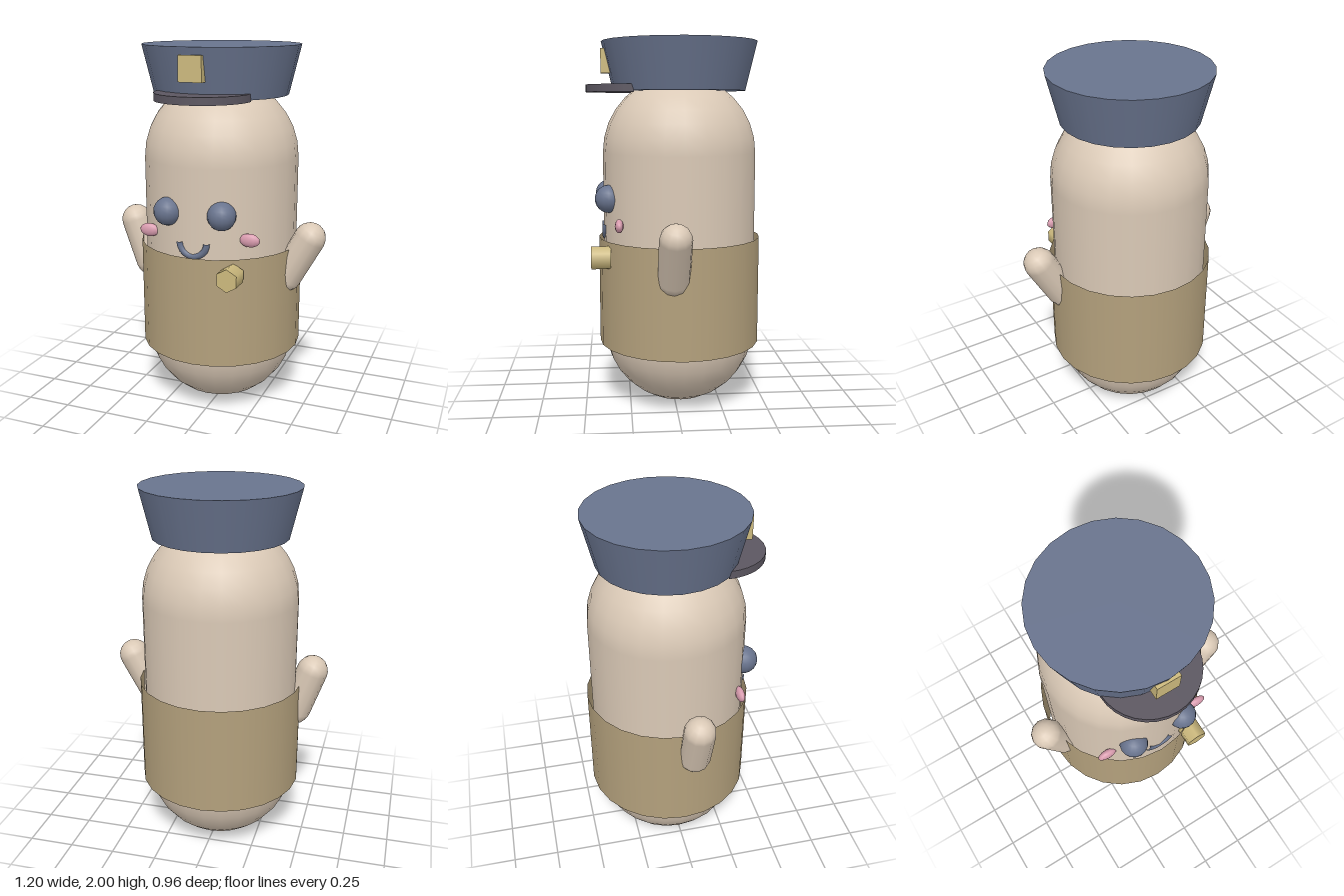
import * as THREE from 'three';

const CX = -0.0125, CZ = -0.03; // axis of the body

function material(name, color, side = THREE.FrontSide) {
  const m = new THREE.MeshStandardMaterial({ color, side });
  m.name = name;
  return m;
}

export function createModel() {
  const group = new THREE.Group();
  const skin = material('skin', 0xdac9b6);
  const navy = material('navy', 0x69748e);
  const tan = material('tan', 0xb3a07c, THREE.DoubleSide);
  const gold = material('gold', 0xcdba7e);
  const pink = material('pink', 0xd99caf);
  const charcoal = material('charcoal', 0x5c5761, THREE.DoubleSide);

  function add(name, geometry, mat, x, y, z) {
    const mesh = new THREE.Mesh(geometry, mat);
    mesh.name = name;
    mesh.position.set(x, y, z);
    group.add(mesh);
    return mesh;
  }

  // Body and open sleeve-like tunic
  add('body', new THREE.CapsuleGeometry(0.42, 0.985, 8, 24), skin, CX, 0.9125, CZ);
  add('tunic', new THREE.CylinderGeometry(0.447, 0.447, 0.595, 24, 1, true), tan, CX, 0.6425, CZ);

  // Arms, each a capsule from shoulder to hand
  function arm(name, shoulder, hand) {
    const dir = hand.clone().sub(shoulder);
    const mid = shoulder.clone().add(hand).multiplyScalar(0.5);
    const mesh = add(name, new THREE.CapsuleGeometry(0.085, dir.length(), 5, 12), skin, mid.x, mid.y, mid.z);
    mesh.quaternion.setFromUnitVectors(new THREE.Vector3(0, 1, 0), dir.normalize());
  }
  arm('leftArm', new THREE.Vector3(0.387, 0.77, 0.03), new THREE.Vector3(0.515, 1.0, 0.03));
  arm('rightArm', new THREE.Vector3(-0.43, 0.765, 0.03), new THREE.Vector3(-0.515, 1.005, 0.03));

  // Face
  for (const [side, s] of [['left', 1], ['right', -1]]) {
    add(side + 'Eye', new THREE.SphereGeometry(0.075, 16, 12), navy, CX + s * 0.15, 1.165, 0.36);
    add(side + 'Cheek', new THREE.SphereGeometry(1, 12, 8), pink, CX + s * 0.283, 1.037, 0.308)
      .scale.set(0.056, 0.036, 0.023);
  }
  const mouth = add('mouth', new THREE.TorusGeometry(0.075, 0.018, 8, 16, Math.PI), navy, CX, 1.016, 0.38);
  mouth.rotation.z = Math.PI;

  // Six-sided button on the chest
  const button = add('button', new THREE.CylinderGeometry(0.062, 0.062, 0.105, 6), gold, 0.2, 0.857, 0.405);
  button.rotation.x = Math.PI / 2;

  // Cap with half-round brim and square badge
  add('capCrown', new THREE.CylinderGeometry(0.424, 0.361, 0.262, 24), navy, CX, 1.869, CZ);
  add('capBrim', new THREE.CylinderGeometry(0.255, 0.255, 0.04, 16, 1, false, -Math.PI / 2, Math.PI),
    charcoal, CX, 1.75, 0.225);
  add('capBadge', new THREE.BoxGeometry(0.125, 0.13, 0.055), gold, CX - 0.003, 1.896, 0.369);

  return group;
}
